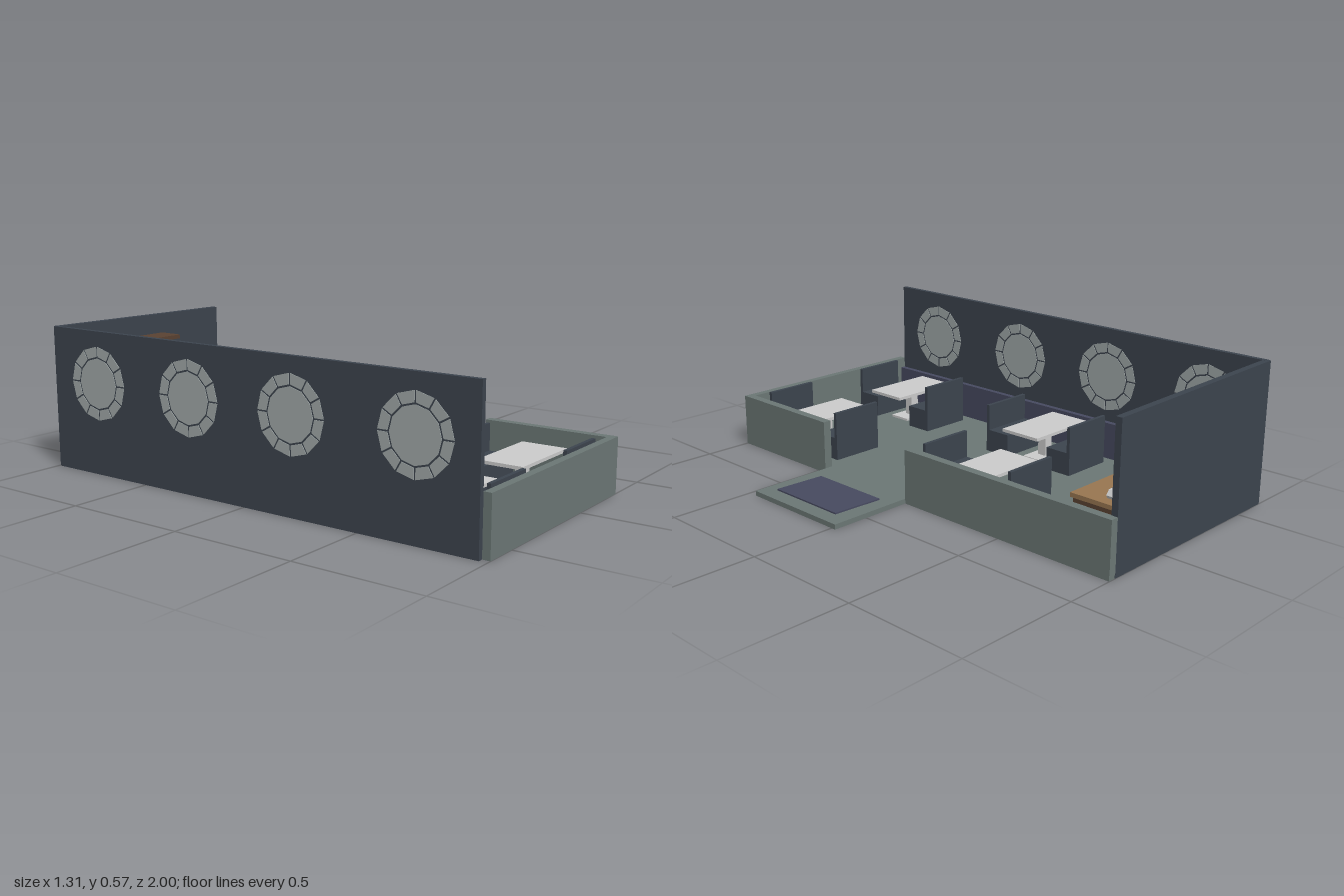
import * as THREE from 'three';

const mat = (color, extra = {}) => new THREE.MeshStandardMaterial({ color, ...extra });
const GREY = mat(0xcccccc);
const BOWL = mat(0xcccccc, { side: THREE.DoubleSide });
const STONE = mat(0x6b7775);
const DARK = mat(0x3c444e);
const NAVY = mat(0x474a60);
const WOOD = mat(0x5a4232);
const LIGHT_WOOD = mat(0x987650);
const GLASS = mat(0xa0a8a8);
const STEEL = mat(0x7d7874);

function add(parent, name, geometry, material, x = 0, y = 0, z = 0) {
  const m = new THREE.Mesh(geometry, material);
  m.name = name;
  m.position.set(x, y, z);
  parent.add(m);
  return m;
}

// Box given by its extents along each axis
function box(parent, name, material, x0, x1, y0, y1, z0, z1) {
  return add(parent, name, new THREE.BoxGeometry(x1 - x0, y1 - y0, z1 - z0), material,
    (x0 + x1) / 2, (y0 + y1) / 2, (z0 + z1) / 2);
}

function group(parent, name, x = 0, y = 0, z = 0) {
  const g = new THREE.Group();
  g.name = name;
  g.position.set(x, y, z);
  parent.add(g);
  return g;
}

function lathe(points, segments = 24) {
  return new THREE.LatheGeometry(points.map(([r, y]) => new THREE.Vector2(r, y)), segments);
}

// Round window: a twelve-sided pane with a ring of separate tiles
function addWindow(parent, z) {
  const g = group(parent, 'roundWindow', -0.645, 0.367, z);
  g.rotation.y = Math.PI / 2;
  const n = 12, depth = 0.024;
  const extrude = (pts) => new THREE.ExtrudeGeometry(
    new THREE.Shape(pts.map(([r, a]) => new THREE.Vector2(r * Math.cos(a), r * Math.sin(a)))),
    { depth, bevelEnabled: false });
  const step = (2 * Math.PI) / n;
  const pane = [];
  for (let i = 0; i < n; i++) {
    const a = i * step, b = a + step;
    pane.push([0.1, a]);
    add(g, 'windowTile', extrude([[0.106, a + 0.03], [0.146, a + 0.02], [0.146, b - 0.02], [0.106, b - 0.03]]),
      GLASS, 0, 0, -depth / 2);
  }
  add(g, 'windowPane', extrude(pane), GLASS, 0, 0, -depth / 2);
}

// Chair centred on x; dir is the side (+z or -z) its back is on
function addChair(parent, x, z, dir) {
  const g = group(parent, 'chair', x, 0.02, z);
  if (dir < 0) g.rotation.y = Math.PI;
  box(g, 'chairSeat', DARK, -0.115, 0.115, 0, 0.095, -0.06, 0.045);
  box(g, 'chairBack', DARK, -0.115, 0.115, 0, 0.205, 0.045, 0.06);
}

function addTable(parent, x, z, w) {
  const g = group(parent, 'table', x, 0.02, z);
  box(g, 'tableTop', GREY, -w / 2, w / 2, 0.127, 0.14, -0.094, 0.094);
  box(g, 'tableLeg', GREY, -0.02, 0.02, 0.01, 0.127, -0.02, 0.02);
  box(g, 'tableFoot', GREY, -0.08, 0.08, 0, 0.01, -0.05, 0.05);
}

function addCounter(parent) {
  const g = group(parent, 'counter');
  // Carcass and shelves
  box(g, 'counterTop', WOOD, -0.47, -0.07, 0.205, 0.222, -0.97, -0.75);
  box(g, 'counterTopLeft', LIGHT_WOOD, -0.595, -0.47, 0.205, 0.222, -0.97, -0.75);
  box(g, 'counterTopRight', LIGHT_WOOD, -0.07, 0.205, 0.205, 0.222, -0.97, -0.75);
  box(g, 'counterBack', WOOD, -0.59, 0.2, 0.02, 0.205, -0.97, -0.955);
  for (const x of [-0.59, 0.185]) box(g, 'counterSide', WOOD, x, x + 0.015, 0.02, 0.205, -0.955, -0.76);
  for (const y of [0.035, 0.1]) box(g, 'counterShelf', WOOD, -0.575, 0.185, y, y + 0.015, -0.955, -0.76);

  // Row of bowls, growing in size
  for (let i = 0; i < 6; i++) {
    const r = 0.016 + i * 0.0035;
    add(g, 'bowl', lathe([[0, 0], [r * 0.5, 0], [r * 0.85, r * 0.5], [r, r], [r * 0.9, r], [0, r * 0.3]], 16),
      BOWL, -0.51 + i * 0.073, 0.115, -0.8);
  }
  // Plates and tray on the top
  for (const x of [-0.295, -0.152]) {
    add(g, 'plate', lathe([[0, 0], [0.035, 0], [0.065, 0.01], [0.06, 0.011], [0, 0.006]], 28), BOWL, x, 0.222, -0.865);
  }
  box(g, 'tray', DARK, -0.585, -0.477, 0.222, 0.228, -0.865, -0.765);

  // Urn with lid and knob
  add(g, 'urn', lathe([[0, 0], [0.05, 0], [0.05, 0.005], [0.047, 0.008], [0.047, 0.115], [0.051, 0.118],
    [0.051, 0.126], [0.045, 0.132], [0.02, 0.139], [0, 0.14]], 28), STEEL, -0.535, 0.222, -0.92);
  add(g, 'urnKnob', new THREE.CylinderGeometry(0.012, 0.007, 0.014, 16), DARK, -0.535, 0.367, -0.92);

  // Tumblers
  for (const x of [-0.437, -0.392]) {
    for (const z of [-0.93, -0.895]) {
      add(g, 'tumbler', lathe([[0, 0], [0.011, 0], [0.015, 0.048], [0.012, 0.048], [0, 0.006]], 16), BOWL, x, 0.222, z);
    }
  }
  // Box with tapered top
  const s = new THREE.Shape([[-0.052, 0.012], [-0.045, 0], [0.045, 0], [0.052, 0.012], [0.038, 0.03], [-0.03, 0.032]]
    .map(([x, y]) => new THREE.Vector2(x, y)));
  add(g, 'napkinBox', new THREE.ExtrudeGeometry(s, { depth: 0.06, bevelEnabled: false }), GREY, 0.115, 0.222, -0.935);
}

export function createModel() {
  const root = new THREE.Group();
  root.name = 'diner';

  // Floor and porch
  box(root, 'floor', STONE, -0.635, 0.3, 0, 0.02, -0.998, 1);
  box(root, 'porch', STONE, 0.3, 0.653, 0, 0.02, -0.02, 0.46);
  const doormat = box(root, 'doormat', NAVY, 0.38, 0.6, 0.024, 0.03, 0.04, 0.39);
  doormat.rotation.z = 0.025;

  // Low walls
  box(root, 'lowWallBack', STONE, 0.265, 0.3, 0.02, 0.22, -1, -0.02);
  box(root, 'lowWallFront', STONE, 0.265, 0.3, 0.02, 0.22, 0.46, 1);
  box(root, 'frontWall', STONE, -0.635, 0.265, 0.02, 0.22, 0.97, 1);

  // Tall walls and lower panelling
  box(root, 'sideWall', DARK, -0.655, -0.635, 0, 0.573, -0.99, 0.97);
  box(root, 'sidePanel', NAVY, -0.635, -0.612, 0.02, 0.175, -0.97, 0.97);
  const wall = new THREE.Shape([[-0.65, 0], [0.268, 0], [0.268, 0.562], [-0.65, 0.573]]
    .map(([x, y]) => new THREE.Vector2(x, y)));
  add(root, 'backWall', new THREE.ExtrudeGeometry(wall, { depth: 0.026, bevelEnabled: false }), DARK, 0, 0, -1);
  for (const z of [0.73, 0.22, -0.262, -0.745]) addWindow(root, z);

  // Wall shelves and counter
  box(root, 'upperShelf', WOOD, -0.635, -0.08, 0.467, 0.484, -0.974, -0.868);
  box(root, 'lowerShelf', WOOD, -0.455, 0.077, 0.336, 0.35, -0.974, -0.868);
  addCounter(root);

  // Tables, each with two facing chairs: table x, z, width, chair x
  const sets = [
    [-0.45, -0.09, 0.33, -0.447], [0.082, -0.255, 0.345, 0.095],
    [-0.45, 0.728, 0.33, -0.447], [0.072, 0.728, 0.345, 0.085],
  ];
  for (const [x, z, w, cx] of sets) {
    addTable(root, x, z, w);
    for (const dir of [-1, 1]) addChair(root, cx, z + dir * 0.167, dir);
  }
  return root;
}
